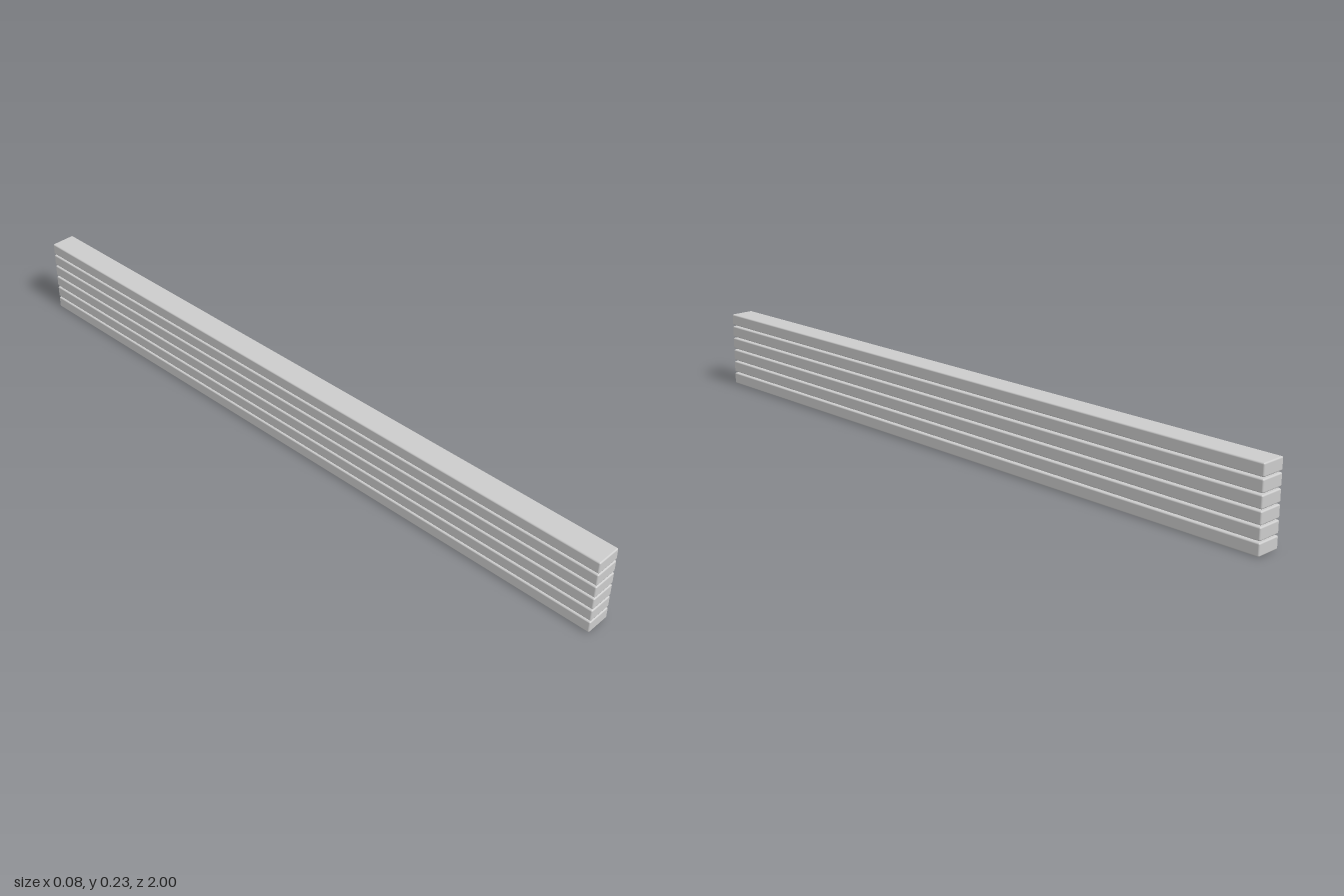
import * as THREE from 'three';
import { RoundedBoxGeometry } from 'three/addons/geometries/RoundedBoxGeometry.js';

const COUNT = 6;
const WIDTH = 0.073, HEIGHT = 0.0338, LENGTH = 2;
const PITCH = 0.0378;   // spacing from plank to plank
const BOTTOM = 0.0015;  // lift that keeps the tilted stack on the ground

export function createModel() {
  const model = new THREE.Group();
  model.name = 'plankStack';
  const material = new THREE.MeshStandardMaterial({ color: 0xcccccc });
  const geometry = new RoundedBoxGeometry(WIDTH, HEIGHT, LENGTH, 2, 0.004);

  // Planks stacked with narrow gaps, each very slightly turned and tilted
  for (let i = 0; i < COUNT; i++) {
    const plank = new THREE.Mesh(geometry, material);
    plank.name = `plank${i + 1}`;
    plank.position.y = BOTTOM + HEIGHT / 2 + i * PITCH;
    plank.rotation.set(-0.0015, -0.0022, 0);
    model.add(plank);
  }
  return model;
}
